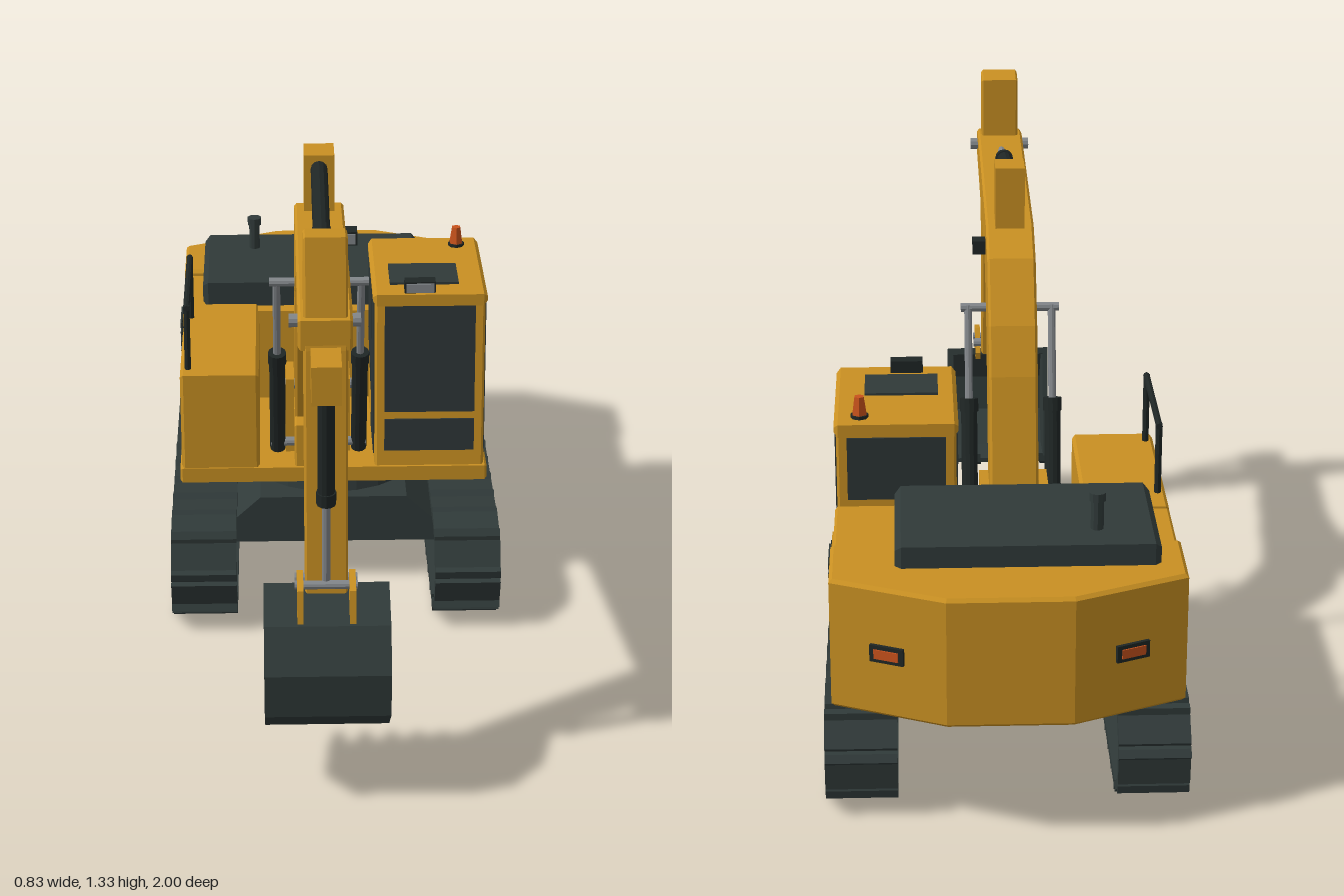
import * as THREE from 'three';

const mat = (name, color) => {
  const m = new THREE.MeshStandardMaterial({ color });
  m.name = name;
  return m;
};

export function createModel() {
  const yellow = mat('yellow paint', 0xc99022);
  const dark = mat('dark steel', 0x303a39);
  const black = mat('black rubber', 0x1f2625);
  const glass = mat('tinted glass', 0x2c3536);
  const grey = mat('bare steel', 0x83878b);
  const orange = mat('orange lamp', 0xc8521c);

  const root = new THREE.Group();
  root.name = 'excavator';

  // Faceted normals for every part
  const add = (name, geo, material, parent = root) => {
    const g = geo.index ? geo.toNonIndexed() : geo;
    g.computeVertexNormals();
    const mesh = new THREE.Mesh(g, material);
    mesh.name = name;
    parent.add(mesh);
    return mesh;
  };
  const extrude = (points, depth, b) => {
    const shape = new THREE.Shape(points.map(([u, v]) => new THREE.Vector2(u, v)));
    const g = new THREE.ExtrudeGeometry(shape, {
      depth: depth - 2 * b, bevelEnabled: b > 0, bevelSize: b, bevelThickness: b, bevelOffset: -b, bevelSegments: 1,
    });
    return g.translate(0, 0, b);
  };
  // Side profile in (z, y), from x0 to x1
  const side = (name, points, x0, x1, material, b = 0, parent = root) =>
    add(name, extrude(points, x1 - x0, b).rotateY(-Math.PI / 2).translate(x1, 0, 0), material, parent);
  const box = (name, x0, x1, y0, y1, z0, z1, material, b = 0, parent = root) =>
    side(name, [[z0, y0], [z1, y0], [z1, y1], [z0, y1]], x0, x1, material, b, parent);
  // Cylinder between two points
  const rod = (name, a, c, r, material, sides = 10, parent = root, r2 = r) => {
    const p = new THREE.Vector3(...a), q = new THREE.Vector3(...c);
    const mesh = add(name, new THREE.CylinderGeometry(r2, r, p.distanceTo(q), sides), material, parent);
    mesh.position.copy(p).lerp(q, 0.5);
    mesh.quaternion.setFromUnitVectors(new THREE.Vector3(0, 1, 0), q.sub(p).normalize());
    return mesh;
  };
  // Hydraulic ram: barrel from a to a fraction of the way, then the rod
  const ram = (name, a, c, r, t) => {
    const g = new THREE.Group();
    g.name = name;
    root.add(g);
    const at = (k) => a.map((v, i) => v + (c[i] - v) * k);
    rod('barrel', a, at(t), r, black, 12, g);
    rod('barrelCollar', at(t - 0.06), at(t), r * 1.15, black, 12, g);
    rod('pistonRod', at(t), c, r * 0.5, grey, 10, g);
  };

  // Tracks
  const R = 0.112, zF = 0.075, zB = -0.745, yC = 0.135, run = zF - zB;
  const total = 2 * run + 2 * Math.PI * R, shoes = 25;
  for (const s of [-1, 1]) {
    const track = new THREE.Group();
    track.name = s > 0 ? 'leftTrack' : 'rightTrack';
    root.add(track);
    const cx = s * 0.3325;
    for (let i = 0; i < shoes; i++) {
      let d = (i / shoes) * total, z, y, a;
      if (d < run) { z = zB + d; y = yC + R; a = 0; }
      else if ((d -= run) < Math.PI * R) { a = d / R; z = zF + R * Math.sin(a); y = yC + R * Math.cos(a); }
      else if ((d -= Math.PI * R) < run) { z = zF - d; y = yC - R; a = Math.PI; }
      else { a = Math.PI + (d - run) / R; z = zB + R * Math.sin(a); y = yC + R * Math.cos(a); }
      const shoe = side('trackShoe', [[-0.049, -0.012], [0.049, -0.012], [0.047, 0.008], [0.032, 0.022],
        [0.02, 0.01], [-0.047, 0.01]], -0.0825, 0.0825, dark, 0, track);
      shoe.position.set(cx, y, z);
      shoe.rotation.x = a;
    }
    box('trackFrame', cx - 0.055, cx + 0.055, 0.095, 0.195, -0.64, -0.015, dark, 0.018, track);
    box('frameBeam', cx - 0.03, cx + 0.03, 0.11, 0.16, -0.75, 0.09, dark, 0, track);
    box('frameTop', cx - 0.04, cx + 0.04, 0.19, 0.225, -0.56, -0.1, dark, 0, track);
    const wheel = (name, z, y, r, w, m, n) => rod(name, [cx - w, y, z], [cx + w, y, z], r, m, n, track);
    for (const z of [-0.06, -0.2, -0.34, -0.475, -0.61]) wheel('roadRoller', z, 0.075, 0.024, 0.055, dark, 10);
    for (const z of [-0.12, -0.49]) wheel('carrierRoller', z, 0.215, 0.02, 0.05, dark, 10);
    wheel('idler', 0.09, 0.138, 0.084, 0.05, dark, 8);
    wheel('idlerHub', 0.09, 0.138, 0.026, 0.062, grey, 6);
    // Toothed drive wheel
    const teeth = [];
    for (let i = 0; i < 24; i++) {
      const r = i % 2 ? 0.066 : 0.084, t = (i / 24) * Math.PI * 2;
      teeth.push([-0.755 + r * Math.cos(t), 0.138 + r * Math.sin(t)]);
    }
    side('sprocket', teeth, cx - 0.035, cx + 0.035, dark, 0, track);
    wheel('sprocketCover', -0.755, 0.138, 0.045, 0.055, dark, 10);
    wheel('sprocketHub', -0.755, 0.138, 0.018, 0.062, grey, 6);
  }

  // Carriage and slewing ring
  add('carriage', extrude([[-0.27, 0.115], [0.27, 0.115], [0.27, 0.17], [0.19, 0.245], [-0.19, 0.245], [-0.27, 0.17]],
    0.53, 0).translate(0, 0, -0.6), dark);
  rod('slewRing', [0, 0.24, -0.335], [0, 0.305, -0.335], 0.238, dark, 24, root, 0.225);

  // Upper body
  box('deck', -0.395, 0.395, 0.303, 0.343, -0.715, -0.048, yellow, 0.006);
  box('sideHousing', -0.39, -0.19, 0.34, 0.605, -0.5, -0.052, yellow, 0.008);
  box('engineHousing', -0.39, 0.39, 0.34, 0.6, -0.72, -0.462, yellow, 0.006);
  const weight = [[-0.395, 0.705], [0.395, 0.705], [0.395, 0.89], [0.14, 1], [-0.14, 1], [-0.395, 0.89]];
  add('counterweight', extrude(weight, 0.312, 0.008).rotateX(-Math.PI / 2).translate(0, 0.304, 0), yellow);
  box('engineHood', -0.34, 0.25, 0.595, 0.667, -0.84, -0.5, dark, 0.014);
  rod('exhaustPipe', [-0.202, 0.66, -0.75], [-0.202, 0.74, -0.75], 0.015, dark, 10);
  rod('exhaustCap', [-0.202, 0.735, -0.75], [-0.202, 0.755, -0.75], 0.019, dark, 10);
  for (const s of [-1, 1]) {
    const vent = new THREE.Group();
    vent.name = 'sideVent';
    root.add(vent);
    const slab = (name, a, b, y0, y1, z0, z1, m) =>
      box(name, Math.min(s * a, s * b), Math.max(s * a, s * b), y0, y1, z0, z1, m, 0, vent);
    slab('ventFrame', 0.385, 0.396, 0.42, 0.56, -0.66, -0.515, yellow);
    slab('ventOpening', 0.39, 0.399, 0.435, 0.545, -0.642, -0.53, black);
    for (let i = 0; i < 4; i++) slab('ventSlat', 0.395, 0.404, 0.441 + i * 0.027, 0.456 + i * 0.027, -0.64, -0.532, dark);
    // Tail lamp on the chamfered corner
    const lamp = new THREE.Group();
    lamp.name = 'tailLamp';
    add('lampFrame', new THREE.BoxGeometry(0.08, 0.04, 0.016), black, lamp);
    add('lampLens', new THREE.BoxGeometry(0.058, 0.022, 0.008), orange, lamp).position.z = 0.007;
    lamp.position.set(s * 0.268, 0.46, -0.945);
    lamp.rotation.y = Math.atan2(s * 0.396, -0.918);
    root.add(lamp);
  }
  // Handrail
  for (const z of [-0.415, -0.095]) rod('railPost', [-0.37, 0.6, z], [-0.37, 0.78, z], 0.008, black, 8);
  rod('railBar', [-0.37, 0.775, -0.423], [-0.37, 0.775, -0.087], 0.008, black, 8);

  // Cab
  const front = (y) => -0.055 - (y - 0.34) * 0.1;
  side('cab', [[front(0.34), 0.34], [front(0.785), 0.785], [-0.455, 0.785], [-0.455, 0.34]], 0.105, 0.385, yellow, 0.006);
  box('cabRoof', 0.1, 0.39, 0.775, 0.806, -0.465, -0.09, yellow, 0.01);
  for (const [name, y0, y1] of [['windscreen', 0.49, 0.775], ['lowerWindow', 0.385, 0.47]]) {
    side(name, [[front(y0) - 0.004, y0], [front(y0) + 0.004, y0], [front(y1) + 0.004, y1], [front(y1) - 0.004, y1]],
      0.13, 0.36, glass);
  }
  for (const x of [0.102, 0.382]) {
    side('doorWindow', [[-0.077, 0.367], [-0.112, 0.775], [-0.24, 0.775], [-0.24, 0.367]], x, x + 0.006, glass);
    side('rearSideWindow', [[-0.262, 0.775], [-0.445, 0.775], [-0.445, 0.56], [-0.262, 0.46]], x, x + 0.006, glass);
  }
  box('rearWindow', 0.13, 0.36, 0.615, 0.77, -0.459, -0.452, glass);
  box('roofHatch', 0.145, 0.32, 0.804, 0.812, -0.28, -0.155, dark);
  box('workLamp', 0.18, 0.258, 0.804, 0.836, -0.132, -0.1, black);
  box('workLampLens', 0.184, 0.254, 0.808, 0.832, -0.101, -0.096, grey);
  rod('beaconBase', [0.33, 0.803, -0.415], [0.33, 0.814, -0.415], 0.021, black, 8);
  rod('beacon', [0.33, 0.812, -0.415], [0.33, 0.858, -0.415], 0.019, orange, 6, root, 0.012);

  // Boom
  const cx = -0.039;
  side('boom', [[0.83, 1.15], [0.75, 1.165], [0.07, 1.12], [-0.04, 1.065], [-0.135, 0.925], [-0.18, 0.81],
    [-0.26, 0.46], [-0.24, 0.38], [-0.15, 0.38], [-0.11, 0.45], [0.06, 0.88], [0.17, 0.99], [0.72, 1.065], [0.83, 1.08]],
    -0.098, 0.02, yellow, 0.006);
  box('boomBracket', -0.075, -0.003, 1.1, 1.265, 0.053, 0.135, yellow);
  box('boomFootMount', -0.1, 0.022, 0.34, 0.46, -0.17, -0.055, yellow, 0.005);
  for (const x of [-0.122, 0.022]) box('boomFootEar', x, x + 0.022, 0.34, 0.55, -0.25, -0.14, yellow);
  box('boomLamp', 0.018, 0.052, 1.033, 1.067, 0.09, 0.13, black);
  box('boomLampLens', 0.023, 0.048, 1.037, 1.063, 0.129, 0.134, grey);
  const pin = (name, y, z, h, r) => rod(name, [cx - h, y, z], [cx + h, y, z], r, grey, 10);
  pin('boomFootPin', 0.515, -0.19, 0.088, 0.014);
  pin('boomRamPin', 0.907, 0.055, 0.122, 0.011);
  pin('stickPin', 1.125, 0.77, 0.078, 0.015);
  for (const x of [cx - 0.104, cx + 0.104]) {
    ram('boomRam', [x, 0.38, -0.092], [x, 0.912, 0.055], 0.02, 0.58);
  }
  pin('boomRamFootPin', 0.4, -0.086, 0.122, 0.012);
  ram('stickRam', [cx, 1.235, 0.11], [cx, 1.135, 0.7], 0.02, 0.56);

  // Stick
  side('stick', [[0.79, 1.325], [0.715, 1.315], [0.715, 1.065], [0.808, 0.5], [0.862, 0.5], [0.832, 1.08]],
    -0.086, 0.01, yellow, 0.005);
  box('stickBracket', -0.071, -0.006, 0.997, 1.087, 0.8, 0.93, yellow);
  ram('bucketRam', [cx, 1.03, 0.91], [cx, 0.52, 0.866], 0.019, 0.57);

  // Bucket: curved wall, side plates, teeth and hanger ears
  const outer = [[0.83, 0.51], [0.945, 0.465], [1, 0.37], [0.99, 0.26], [0.89, 0.175], [0.76, 0.19]];
  const inner = [[0.76, 0.202], [0.885, 0.193], [0.974, 0.268], [0.983, 0.365], [0.935, 0.45], [0.826, 0.492]];
  side('bucketWall', [...outer, ...inner], -0.175, 0.1, dark);
  for (const x of [-0.178, 0.089]) side('bucketSide', outer, x, x + 0.014, dark);
  for (let i = 0; i < 5; i++) {
    const x = -0.163 + i * 0.0628;
    side('bucketTooth', [[0.78, 0.186], [0.78, 0.206], [0.724, 0.205], [0.724, 0.199]], x - 0.011, x + 0.011, black);
  }
  for (const x of [-0.104, 0.012]) {
    side('bucketEar', [[0.94, 0.465], [0.93, 0.545], [0.86, 0.56], [0.815, 0.5], [0.82, 0.48]], x, x + 0.014, yellow);
  }
  pin('bucketPin', 0.525, 0.835, 0.07, 0.012);
  pin('linkPin', 0.53, 0.875, 0.07, 0.01);
  return root;
}
